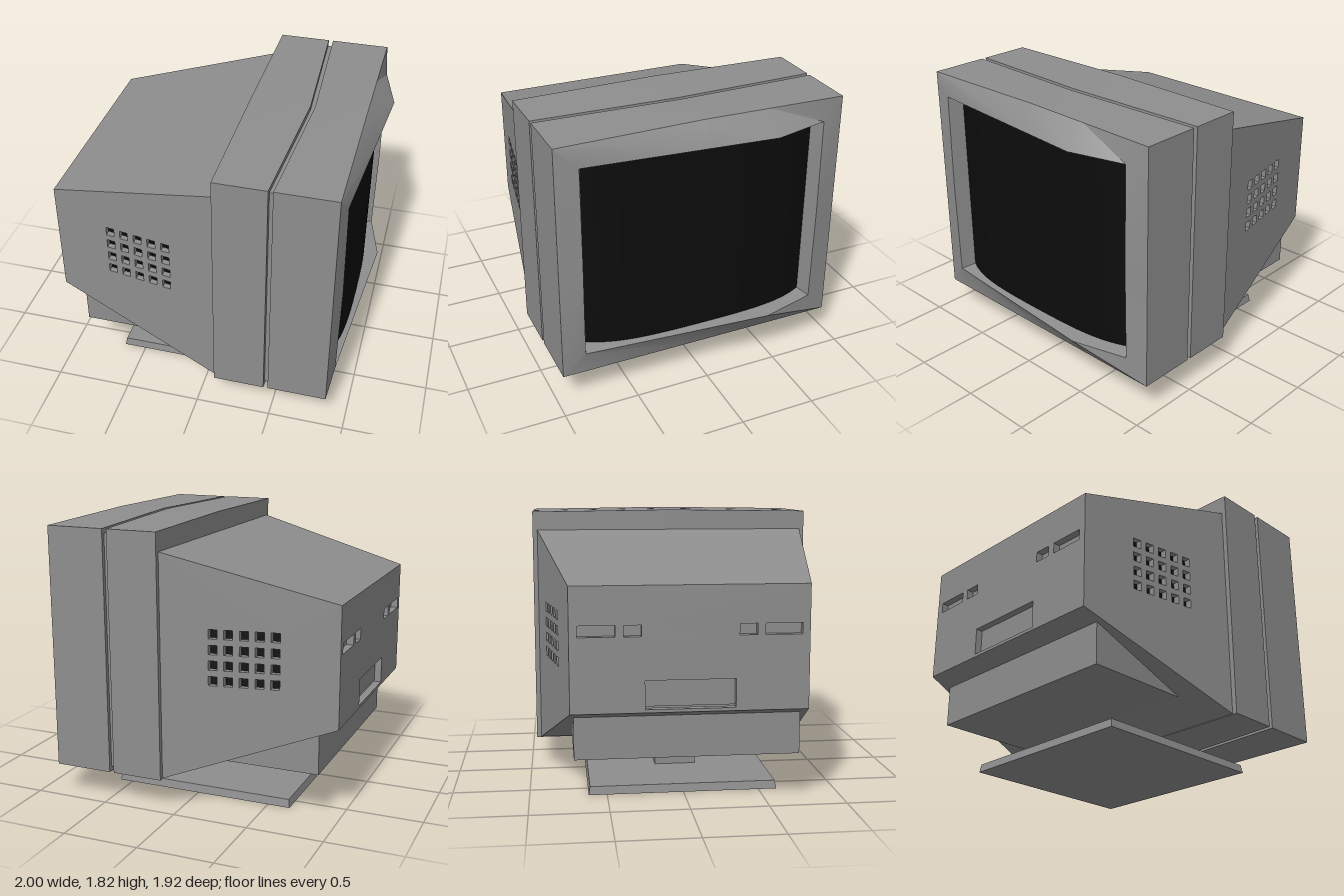
import * as THREE from 'three';
import { toCreasedNormals } from 'three/addons/utils/BufferGeometryUtils.js';

// Skin a list of rings (equal numbers of [x, y, z] points)
function loft(rings, closed = true) {
  const pos = [];
  for (let i = 0; i < rings.length - 1; i++) {
    const n = rings[i].length;
    for (let j = 0; j < (closed ? n : n - 1); j++) {
      const k = (j + 1) % n;
      const a = rings[i][j], b = rings[i][k], c = rings[i + 1][k], d = rings[i + 1][j];
      pos.push(...a, ...c, ...b, ...a, ...d, ...c);
    }
  }
  const g = new THREE.BufferGeometry();
  g.setAttribute('position', new THREE.Float32BufferAttribute(pos, 3));
  g.computeVertexNormals();
  return g;
}

// Flat polygon with rectangular holes [left, right, bottom, top], given thickness
function panel(corners, holes, depth) {
  const shape = new THREE.Shape(corners.map(([u, v]) => new THREE.Vector2(u, v)));
  for (const [l, r, b, t] of holes) {
    shape.holes.push(new THREE.Path([[l, b], [l, t], [r, t], [r, b]].map(([u, v]) => new THREE.Vector2(u, v))));
  }
  return new THREE.ExtrudeGeometry(shape, { depth, bevelEnabled: false });
}

export function createModel() {
  const model = new THREE.Group();
  const casing = new THREE.MeshStandardMaterial({ color: 0x8e8e8e, side: THREE.DoubleSide });
  casing.name = 'casing grey';
  const black = new THREE.MeshStandardMaterial({ color: 0x0c0c0c });
  black.name = 'screen black';

  const add = (name, geometry, material = casing, x = 0, y = 0, z = 0) => {
    const mesh = new THREE.Mesh(geometry, material);
    mesh.name = name;
    mesh.position.set(x, y, z);
    model.add(mesh);
    return mesh;
  };

  // Front housing: outline rings along x, with a bent groove and a peaked lip
  const ring = (hz, y0, y1, xAt, bulge = 0) => {
    const zs = [hz, 0, -0.44, -hz];
    const mid = (y0 + y1) / 2;
    const top = zs.map(z => [xAt(z), y1 + bulge * (1 - Math.abs(z) / hz), z]);
    const bottom = zs.map(z => [xAt(z), y0, z]).reverse();
    return [...top, [xAt(-hz, true), mid, -hz], ...bottom, [xAt(hz, true), mid, hz]];
  };
  const at = x => () => x;
  const bent = x => z => x + 0.055 * (1 - Math.min(1, Math.abs(z) / 0.96));
  const lip = (z, side) => {
    if (side) return 0.908;
    return z > -0.44 ? 0.9 + 0.1 * (0.815 - z) / 1.255 : 0.9 + 0.1 * (z + 0.815) / 0.375;
  };
  const outer = x => ring(0.96, 0.2, 1.803, x, 0.012);
  const sunk = x => ring(0.93, 0.23, 1.773, x, 0.012);
  add('frontHousing', toCreasedNormals(loft([
    ring(0.88, 0.26, 1.6, at(0.11)),
    outer(at(0.11)), outer(bent(0.45)),
    sunk(bent(0.45)), sunk(bent(0.48)),
    outer(bent(0.48)), outer(at(0.87)),
    ring(0.815, 0.36, 1.665, lip),
    ring(0.775, 0.38, 1.645, at(0.79)),
  ]), 0.5));

  // Screen: glass curving back at both sides
  const glass = new THREE.Shape();
  glass.moveTo(0.7, -0.79);
  glass.lineTo(0.8, -0.79);
  glass.bezierCurveTo(0.9, -0.6, 0.912, -0.4, 0.912, 0);
  glass.bezierCurveTo(0.912, 0.4, 0.9, 0.6, 0.8, 0.79);
  glass.lineTo(0.7, 0.79);
  const screen = new THREE.ExtrudeGeometry(glass, { depth: 1.27, bevelEnabled: false, curveSegments: 16 });
  screen.rotateX(-Math.PI / 2);
  add('screen', toCreasedNormals(screen, 0.5), black, 0, 0.377, 0);

  // Tapered rear body: top and bottom
  const rear = { x: -1, y0: 0.62, y1: 1.4, z: 0.738 };
  const front = { x: 0.12, y0: 0.2, y1: 1.68, z: 0.93 };
  const strip = (key, s) => loft([rear, front].map(e => [[e.x, e[key], s * e.z], [e.x, e[key], -s * e.z]]), false);
  add('bodyTop', strip('y1', 1));
  add('bodyBottom', strip('y0', -1));

  // Body sides with a 5 x 4 grid of vent holes
  const slope = (front.z - rear.z) / (front.x - rear.x);
  const sideZ = x => rear.z + (x - rear.x) * slope;
  const vents = [];
  for (let i = 0; i < 5; i++) {
    for (let j = 0; j < 4; j++) {
      const x = -0.61 + i * 0.097, y = 0.88 + j * 0.1;
      vents.push([x - 0.028, x + 0.028, y - 0.03, y + 0.03]);
    }
  }
  const outline = [[rear.x, rear.y0], [front.x, front.y0], [front.x, front.y1], [rear.x, rear.y1]];
  for (const s of [1, -1]) {
    const g = panel(outline, vents, 0.04);
    const p = g.attributes.position;
    for (let i = 0; i < p.count; i++) {
      p.setZ(i, p.getZ(i) + s * sideZ(p.getX(i)) - (s > 0 ? 0.04 : 0));
    }
    g.computeVertexNormals();
    add(s > 0 ? 'rightBodySide' : 'leftBodySide', g);
    const backing = add('ventBacking', new THREE.BoxGeometry(0.52, 0.44, 0.008), black,
      -0.416, 1.03, s * (sideZ(-0.416) - 0.043));
    backing.rotation.y = -s * Math.atan(slope);
  }

  // Rear panel with connector slots and a wide socket recess
  const slots = [[-0.28, 0.28, 0.64, 0.82]];
  for (const s of [1, -1]) {
    for (const [a, b] of [[0.3, 0.41], [0.46, 0.69]]) {
      slots.push([Math.min(s * a, s * b), Math.max(s * a, s * b), 1.09, 1.16]);
    }
  }
  const back = panel([[-rear.z, rear.y0], [rear.z, rear.y0], [rear.z, rear.y1], [-rear.z, rear.y1]], slots, 0.05);
  back.rotateY(-Math.PI / 2);
  add('rearPanel', back, casing, -0.95, 0, 0);
  add('slotBacking', new THREE.BoxGeometry(0.008, 0.7, 1.42), casing, -0.95, 1.0, 0);

  // Lower rear box, neck and tapered base plate
  add('lowerBox', new THREE.BoxGeometry(0.71, 0.4, 1.43), casing, -0.515, 0.5, 0);
  add('neck', new THREE.BoxGeometry(0.28, 0.34, 0.28), casing, -0.03, 0.21, 0);
  const base = new THREE.BoxGeometry(1.24, 0.054, 1.24);
  const bp = base.attributes.position;
  for (let i = 0; i < bp.count; i++) {
    if (bp.getY(i) > 0) bp.setXYZ(i, bp.getX(i) * 0.985, bp.getY(i), bp.getZ(i) * 0.985);
  }
  base.computeVertexNormals();
  add('base', base, casing, -0.03, 0.027, 0);

  return model;
}
